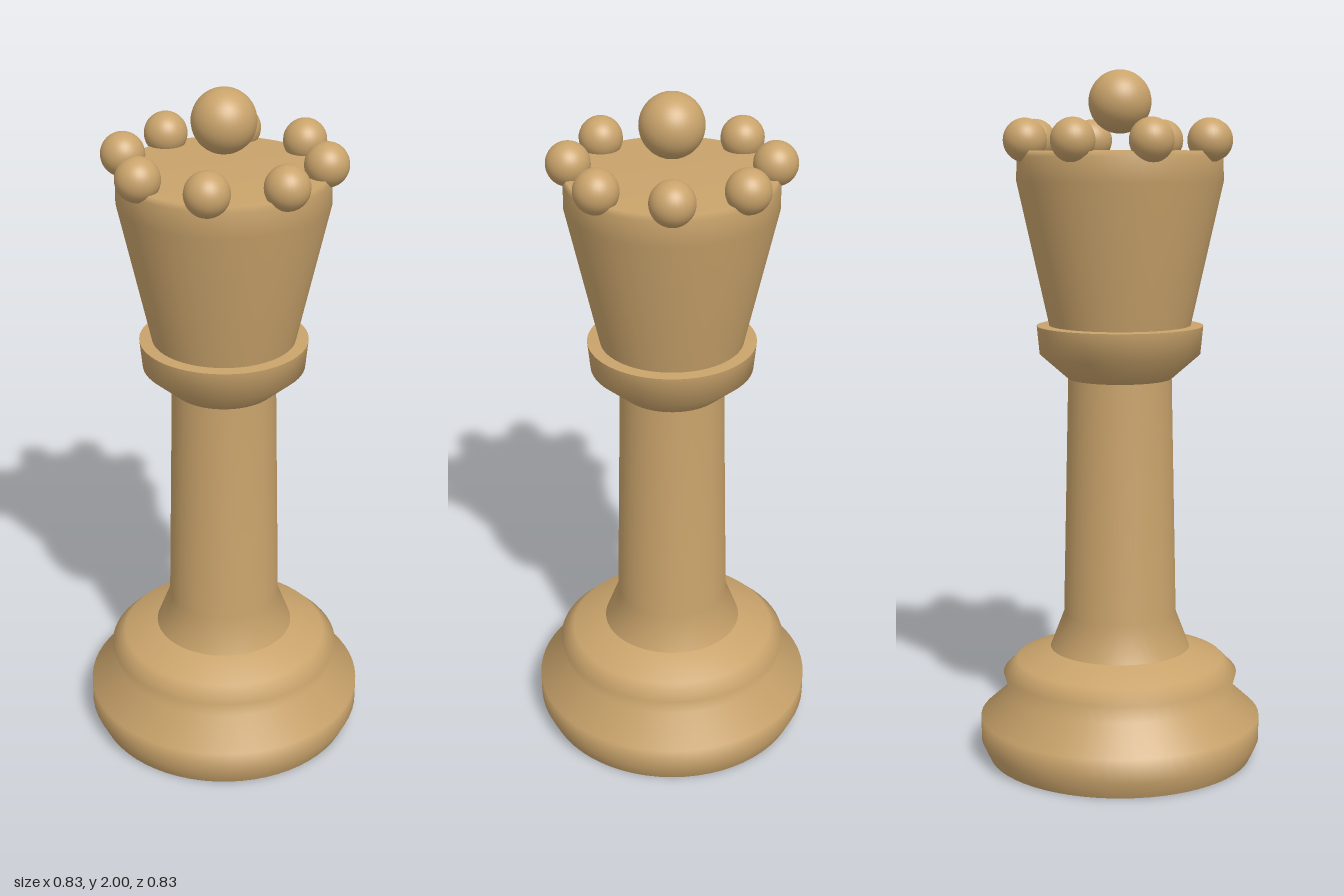
import * as THREE from 'three';

const wood = new THREE.MeshStandardMaterial({ color: 0xc9a36b });

export function createModel() {
  const group = new THREE.Group();

  const add = (name, geometry, x = 0, y = 0, z = 0) => {
    const mesh = new THREE.Mesh(geometry, wood);
    mesh.name = name;
    mesh.position.set(x, y, z);
    group.add(mesh);
  };
  // Profile of [radius, height] pairs, listed from bottom to top
  const turned = (name, profile) =>
    add(name, new THREE.LatheGeometry(profile.map(([r, y]) => new THREE.Vector2(r, y)), 64));

  // Flat underside
  turned('underside', [[0, 0], [0.39, 0]]);

  // Two stepped, rounded rings
  turned('base', [
    [0.39, 0], [0.413, 0.05], [0.413, 0.12], [0.33, 0.195],
    [0.345, 0.25], [0.305, 0.29], [0.205, 0.325],
  ]);

  // Slim stem with a flared foot
  turned('stem', [[0.205, 0.325], [0.165, 0.43], [0.15, 1.125]]);

  // Collar below the crown
  turned('collar', [[0.15, 1.125], [0.232, 1.197], [0.24, 1.278]]);
  turned('collarTop', [[0.24, 1.278], [0.19, 1.28]]);

  // Flared crown with a softened rim and a flat top
  turned('crown', [[0.203, 1.275], [0.295, 1.69], [0.293, 1.76], [0.286, 1.775], [0, 1.775]]);

  // Ring of eight beads on the rim
  const bead = new THREE.SphereGeometry(0.0615, 32, 20);
  for (let i = 0; i < 8; i++) {
    const a = (i * Math.PI) / 4;
    add(`crownBead${i + 1}`, bead, 0.278 * Math.cos(a), 1.804, 0.278 * Math.sin(a));
  }

  // Larger ball over the centre
  add('finial', new THREE.SphereGeometry(0.089, 40, 24), 0, 1.911, 0);

  return group;
}
